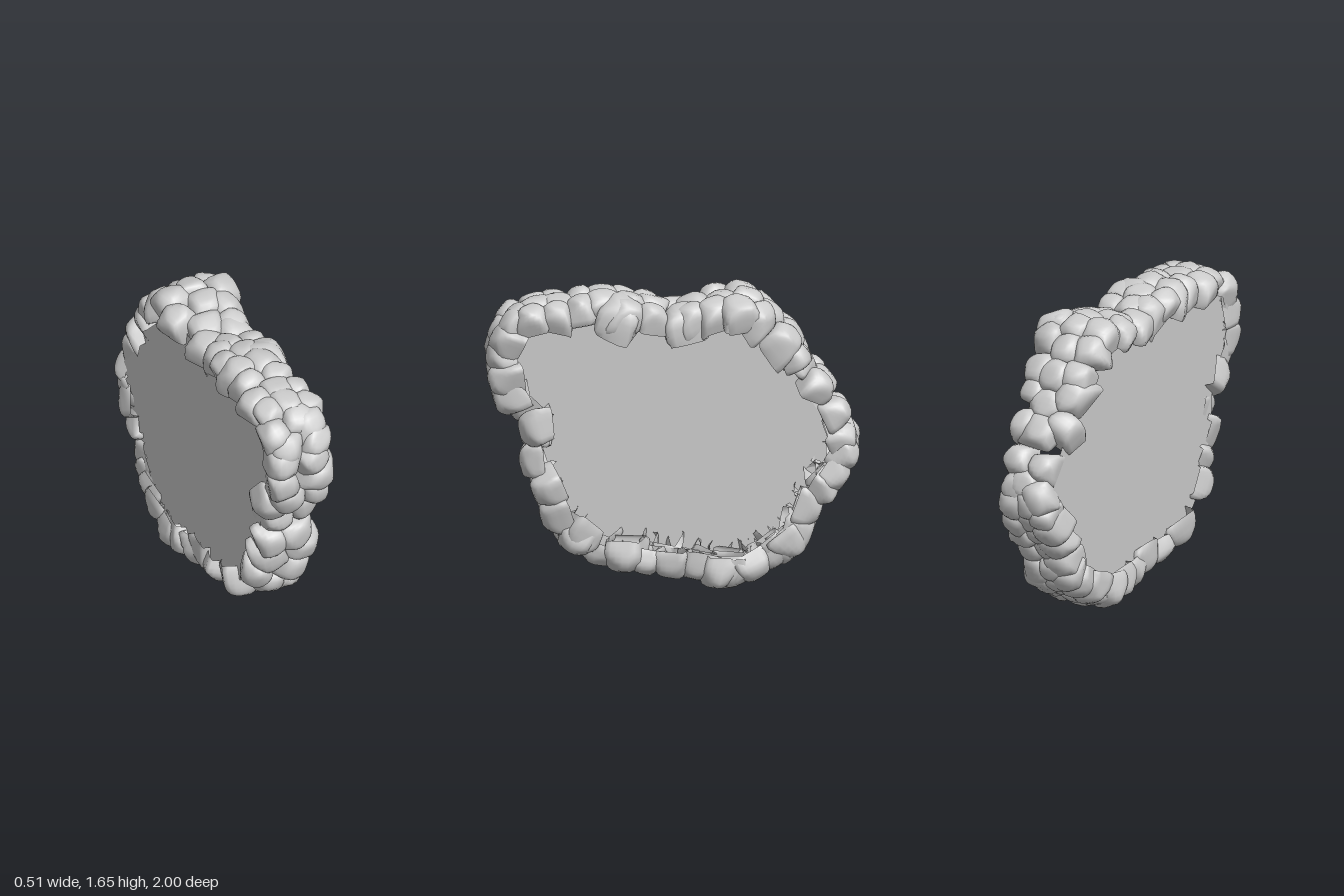
import * as THREE from 'three';
import { mergeVertices } from 'three/addons/utils/BufferGeometryUtils.js';

// small seeded random source
let seed = 7;
const rand = (a = 0, b = 1) => {
  seed = (seed * 16807) % 2147483647;
  return a + (b - a) * (seed / 2147483647);
};

// rounded, chipped block that is hollow and open on its inner (-y) side
function stoneGeometry(w, h, d) {
  const box = new THREE.BoxGeometry(1, 1, 1, 6, 6, 6);
  const inner = box.groups[3];
  const index = Array.from(box.index.array);
  index.splice(inner.start, inner.count);
  box.setIndex(index);
  box.deleteAttribute('normal');
  box.deleteAttribute('uv');
  const geo = mergeVertices(box);

  // faces of the stone: six tilted sides plus chipped corners
  const planes = [];
  for (const axis of [0, 1, 2]) {
    for (const s of [-1, 1]) {
      const n = new THREE.Vector3(rand(-0.2, 0.2), rand(-0.2, 0.2), rand(-0.2, 0.2));
      n.setComponent(axis, s).normalize();
      planes.push({ n, h: rand(0.48, 0.54) });
    }
  }
  for (let i = 0; i < 8; i++) {
    const a = (i + rand()) * Math.PI / 4;
    const n = new THREE.Vector3(Math.cos(a), rand(0.5, 1), Math.sin(a)).normalize();
    planes.push({ n, h: rand(0.52, 0.6) });
  }
  const p = geo.attributes.position;
  const v = new THREE.Vector3();
  for (let i = 0; i < p.count; i++) {
    v.fromBufferAttribute(p, i).normalize();
    let sum = 0;
    for (const { n, h: dist } of planes) sum += Math.pow(Math.max(0, v.dot(n)) / dist, 14);
    v.multiplyScalar(Math.pow(sum, -1 / 14));
    p.setXYZ(i, v.x * w, v.y * h, v.z * d);
  }
  geo.computeVertexNormals();
  return geo;
}

// outer outline of the ring as [z, y]
const OUTLINE = [
  [0, 1.58], [0.2, 1.62], [0.4, 1.65], [0.6, 1.62], [0.78, 1.6], [0.91, 1.53],
  [0.99, 1.38], [0.99, 1.15], [0.93, 1.0], [0.82, 0.88], [0.82, 0.7], [0.75, 0.53],
  [0.7, 0.38], [0.56, 0.22], [0.37, 0.12], [0.15, 0.09], [-0.07, 0.06], [-0.3, 0.01],
  [-0.5, 0.08], [-0.7, 0.22], [-0.79, 0.42], [-0.91, 0.58], [-0.99, 0.77],
  [-0.94, 0.97], [-0.86, 1.13], [-0.73, 1.27], [-0.68, 1.39], [-0.58, 1.5],
  [-0.42, 1.63], [-0.3, 1.64], [-0.15, 1.61],
];

// stones along the upper side as [x, z]
const UPPER = [
  [-0.08, -0.94], [0.07, -0.93], [-0.02, -0.83], [-0.12, -0.79], [0.1, -0.81],
  [-0.11, -0.71], [0.01, -0.73], [0.1, -0.71],
  [-0.12, -0.65], [0, -0.66], [0.1, -0.65], [-0.13, -0.52], [0, -0.55], [0.13, -0.5],
  [0, -0.42], [-0.12, -0.37], [0.14, -0.34], [-0.16, -0.21], [0.02, -0.24],
  [0.1, -0.19], [-0.05, -0.08], [0.09, -0.07], [-0.1, 0.01], [-0.03, 0.1], [0.1, 0.1],
  [-0.09, 0.14], [-0.13, 0.25], [0, 0.23],
  [0.11, 0.24], [0.03, 0.37], [-0.1, 0.37], [-0.1, 0.51], [0.06, 0.51], [-0.13, 0.64],
  [0, 0.63], [0.1, 0.64], [0, 0.73], [-0.11, 0.75], [0.1, 0.78], [0.02, 0.85],
  [-0.13, 0.92], [0.07, 0.91],
];

// stones down the front side as [x, y]
const FRONT = [
  [-0.09, 1.43], [0.08, 1.43], [-0.11, 1.34], [0.06, 1.31], [-0.11, 1.18], [0.08, 1.18],
  [-0.07, 1.03], [0.08, 1.05], [-0.11, 0.92], [-0.06, 0.84], [0.08, 0.88], [-0.09, 0.67],
  [0.04, 0.71], [0.11, 0.55], [-0.08, 0.53], [-0.12, 0.41], [0.08, 0.39], [-0.02, 0.26],
  [0.09, 0.23], [-0.11, 0.15], [0.02, 0.14],
];

export function createModel() {
  seed = 7;
  const group = new THREE.Group();
  const material = new THREE.MeshStandardMaterial({ color: 0xcccccc, side: THREE.DoubleSide });
  const curve = new THREE.CatmullRomCurve3(OUTLINE.map(([z, y]) => new THREE.Vector3(0, y, z)), true);
  const samples = curve.getSpacedPoints(500);
  const X = new THREE.Vector3(1, 0, 0);

  // point, tangent and outward direction at u along the ring
  const frame = (u) => {
    const t = curve.getTangentAt(u);
    return { point: curve.getPointAt(u), t, n: t.clone().cross(X).normalize() };
  };

  // position along the ring where the cost is smallest
  const locate = (cost) => {
    let best = 0;
    samples.forEach((s, i) => { if (cost(s) < cost(samples[best])) best = i; });
    return best / 500;
  };
  const onUpper = (z) => locate((s) => (s.y > 1.05 + 0.3 * s.z ? Math.abs(s.z - z) : 9));
  const onFront = (y) => locate((s) => (s.z > 0.3 ? Math.abs(s.y - y) : 9));

  const stones = new THREE.Group();
  stones.name = 'stoneRing';
  group.add(stones);

  function addStone(u, x, size, sink = 0) {
    const { point, t, n } = frame(u);
    // middle stones are shallower than those at the rims
    const h = size * (Math.abs(x) < 0.06 ? rand(0.65, 0.8) : rand(0.8, 1));
    const mesh = new THREE.Mesh(stoneGeometry(size * rand(0.92, 1.05), h, size * rand(0.95, 1.08)), material);
    mesh.name = 'stone';
    mesh.quaternion.setFromRotationMatrix(new THREE.Matrix4().makeBasis(X, n, t));
    mesh.rotateZ(-x * 1.8 + rand(-0.1, 0.1));
    mesh.rotateX(rand(-0.12, 0.12));
    mesh.rotateY(rand(-0.35, 0.35));
    mesh.position.copy(point).addScaledVector(n, -h * 0.48 - sink);
    mesh.position.x = x;
    stones.add(mesh);
  }

  // upper and front courses
  for (const [x, z] of UPPER) addStone(onUpper(z), x, rand(0.155, 0.185), Math.abs(x) * 0.1);
  for (const [x, y] of FRONT) addStone(onFront(y), x, rand(0.165, 0.19), Math.abs(x) * 0.1);

  // staggered courses along the underside and up the back
  const start = onFront(0.1) + 0.015;
  const end = onUpper(-0.97);
  const COUNT = 14;
  for (let i = 0; i < COUNT; i++) {
    const at = (k) => start + (end - start) * (i + k + rand(-0.12, 0.12)) / COUNT;
    addStone(at(0.2), -0.1 + rand(-0.02, 0.02), rand(0.16, 0.19), rand(0, 0.02));
    addStone(at(0.6), 0.08 + rand(-0.02, 0.02), rand(0.16, 0.19), rand(0, 0.02));
    addStone(at(0.85), -0.02 + rand(-0.02, 0.02), rand(0.13, 0.16), rand(0, 0.02));
  }

  // larger stones that reach further into the opening, by [x, z, y, size]
  const BIG = [
    [0.08, 0.26, 1.63, 0.22], [0.07, -0.03, 1.58, 0.2], [0.15, -0.34, 1.62, 0.18],
    [0.07, 0.28, 0.11, 0.21], [0.07, 0.56, 0.24, 0.2], [0.07, -0.3, 0.02, 0.19],
    [0.06, -0.62, 0.17, 0.19], [-0.12, -0.3, 0.02, 0.19],
  ];
  for (const [x, z, y, size] of BIG) addStone(locate((s) => Math.hypot(s.z - z, s.y - y)), x, size, 0.01);

  // flat sheet closing the opening on the right-hand side
  const inset = [];
  for (let i = 0; i < 60; i++) {
    const { point, n } = frame(i / 60);
    point.addScaledVector(n, -0.1);
    inset.push(new THREE.Vector2(point.z, point.y));
  }
  const sheet = new THREE.Mesh(new THREE.ShapeGeometry(new THREE.Shape(inset)), material);
  sheet.name = 'innerSheet';
  sheet.rotation.y = -Math.PI / 2;
  sheet.position.x = -0.15;
  group.add(sheet);

  return group;
}
